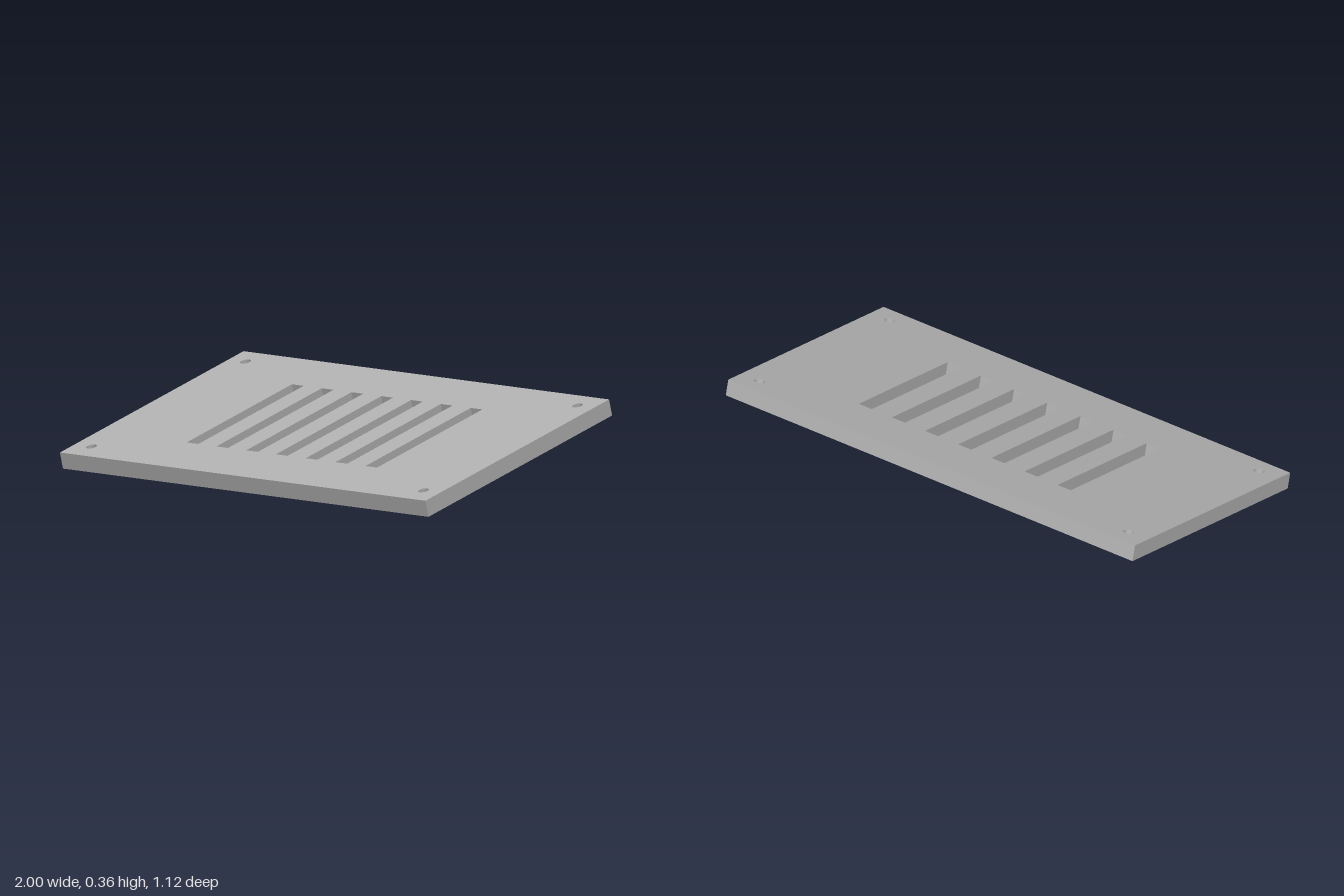
import * as THREE from 'three';

const WIDTH = 2, LENGTH = 1.14, THICKNESS = 0.07;
const TILT = THREE.MathUtils.degToRad(15);

// Closed rectangular outline centred on (x, y)
function rectangle(path, x, y, w, h) {
  path.moveTo(x - w / 2, y - h / 2);
  path.lineTo(x + w / 2, y - h / 2);
  path.lineTo(x + w / 2, y + h / 2);
  path.lineTo(x - w / 2, y + h / 2);
  path.closePath();
  return path;
}

export function createModel() {
  const group = new THREE.Group();
  group.name = 'ventPanel';
  const grey = new THREE.MeshStandardMaterial({ color: 0xb0b0b0 });
  grey.name = 'grey';

  const outline = rectangle(new THREE.Shape(), 0, 0, WIDTH, LENGTH);

  // Seven vent slots
  for (let i = -3; i <= 3; i++) {
    outline.holes.push(rectangle(new THREE.Path(), i * 0.163, 0, 0.064, 0.654));
  }

  // Four corner screw holes
  for (const sx of [-1, 1]) {
    for (const sy of [-1, 1]) {
      outline.holes.push(new THREE.Path().absarc(sx * 0.908, sy * 0.478, 0.022, 0, Math.PI * 2, true));
    }
  }

  // Slab, laid flat and then tilted with its back edge raised
  const geometry = new THREE.ExtrudeGeometry(outline, {
    depth: THICKNESS, bevelEnabled: false, curveSegments: 24,
  });
  geometry.translate(0, 0, -THICKNESS / 2);
  geometry.rotateX(-Math.PI / 2 + TILT);
  geometry.translate(0, (LENGTH * Math.sin(TILT) + THICKNESS * Math.cos(TILT)) / 2, 0);

  const plate = new THREE.Mesh(geometry, grey);
  plate.name = 'slottedPlate';
  group.add(plate);
  return group;
}
